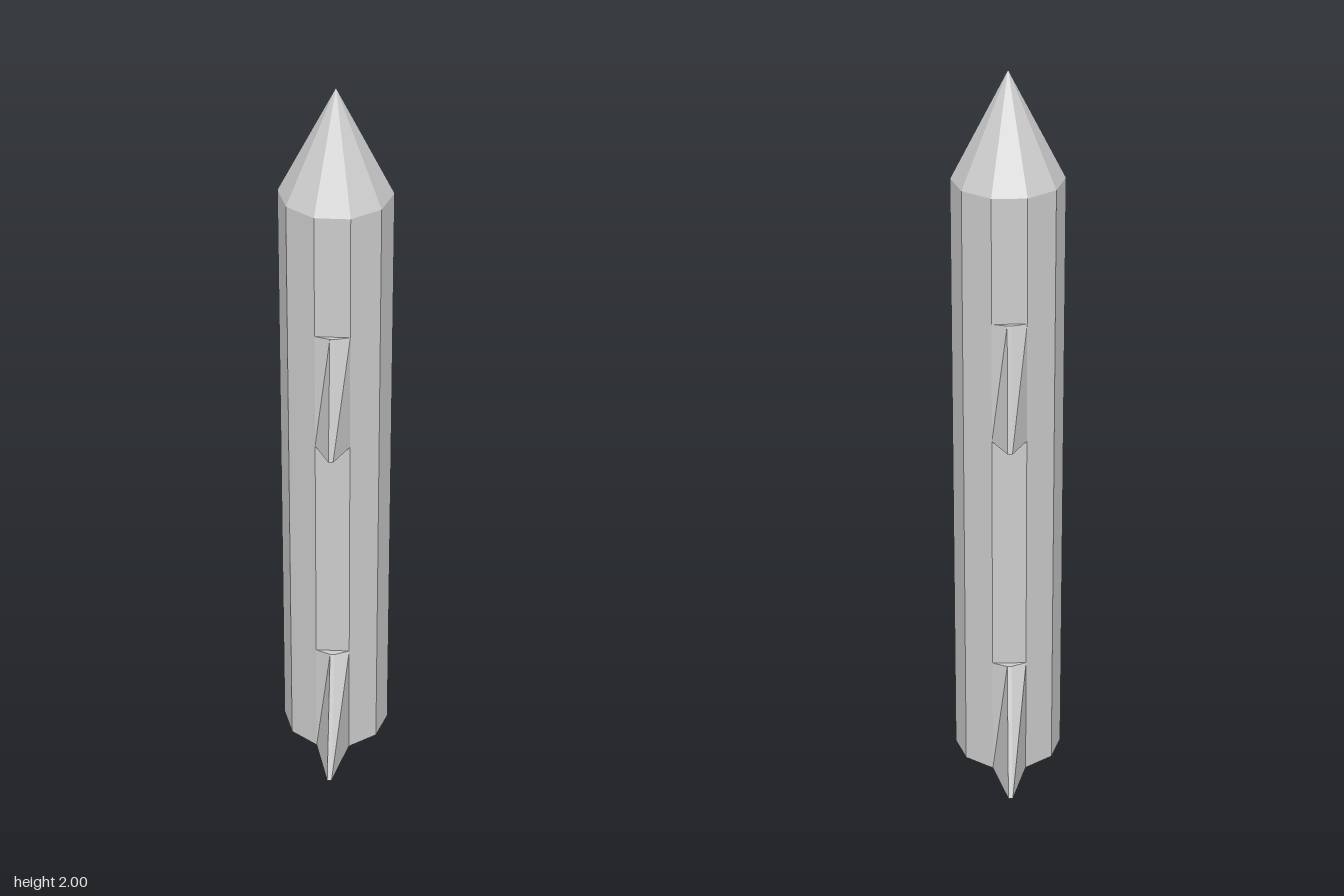
import * as THREE from 'three';

const SIDES = 10;
const RADIUS = 0.148;
const BODY_TOP = 1.71;
const FACE_Z = RADIUS * Math.sin(Math.PI * 0.4); // distance to the flat front face
const FACE_HALF = RADIUS * Math.cos(Math.PI * 0.4); // half width of that face
const TIP_HALF = 0.006;

const material = new THREE.MeshStandardMaterial({ color: 0xcccccc, flatShading: true });

function addMesh(parent, name, geometry) {
  const mesh = new THREE.Mesh(geometry, material);
  mesh.name = name;
  parent.add(mesh);
  return mesh;
}

// Wedge fin: as wide as the body face at its root, narrow at its swept outer edge
function finGeometry(y0, y1, reachBottom, reachTop) {
  const geometry = new THREE.BoxGeometry(1, 1, 1);
  const p = geometry.attributes.position;
  for (let i = 0; i < p.count; i++) {
    const top = p.getY(i) > 0;
    const outer = p.getZ(i) > 0;
    const z = outer ? (top ? reachTop : reachBottom) : FACE_Z;
    p.setXYZ(i, Math.sign(p.getX(i)) * (outer ? TIP_HALF : FACE_HALF), top ? y1 : y0, z);
  }
  geometry.computeVertexNormals();
  return geometry;
}

export function createModel() {
  const rocket = new THREE.Group();
  rocket.name = 'rocket';

  // Ten-sided body, closed at the bottom, with an edge on each side
  const body = new THREE.CylinderGeometry(RADIUS, RADIUS, BODY_TOP, SIDES, 1, false, Math.PI / 2);
  body.translate(0, BODY_TOP / 2, 0);
  addMesh(rocket, 'body', body);

  // Pointed nose
  const noseHeight = 2 - BODY_TOP;
  const nose = new THREE.ConeGeometry(RADIUS, noseHeight, SIDES, 1, true, Math.PI / 2);
  nose.translate(0, BODY_TOP + noseHeight / 2, 0);
  addMesh(rocket, 'noseCone', nose);

  // Tail and upper fins, front and back
  const tailFin = finGeometry(0, 0.345, 0.289, 0.159);
  const upperFin = finGeometry(1.027, 1.365, 0.214, 0.152);
  for (const [side, turn] of [['front', 0], ['back', Math.PI]]) {
    addMesh(rocket, side + 'TailFin', tailFin).rotation.y = turn;
    addMesh(rocket, side + 'UpperFin', upperFin).rotation.y = turn;
  }

  return rocket;
}
